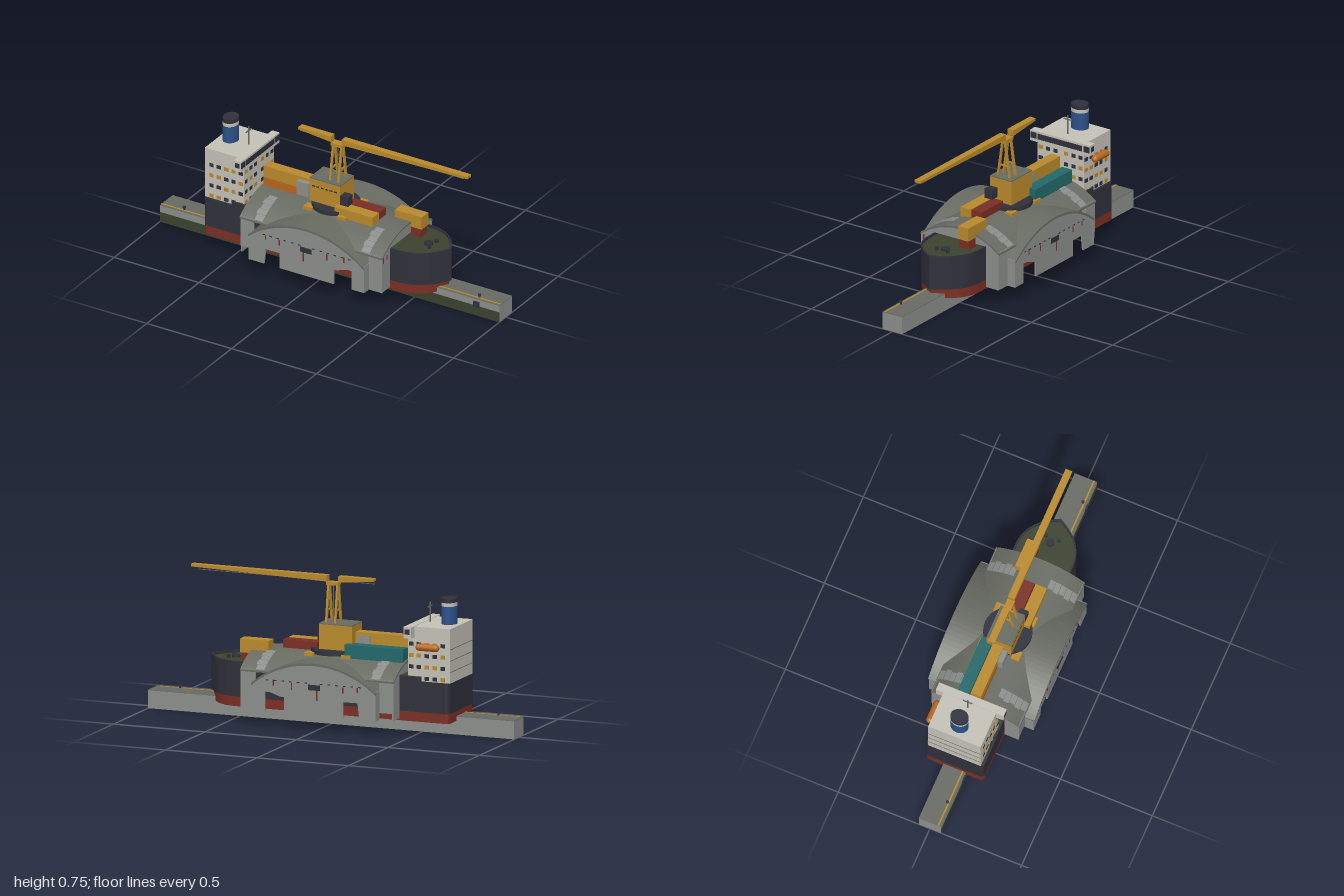
import * as THREE from 'three';

const mat = (name, color, side = THREE.FrontSide) => {
  const m = new THREE.MeshStandardMaterial({ color, side });
  m.name = name;
  return m;
};

export function createModel() {
  const concrete = mat('concrete', 0x8c8e8c), roof = mat('roof grey', 0x686b62), navy = mat('navy', 0x2f303a),
    red = mat('oxide red', 0x7a2e24), yellow = mat('crane yellow', 0xb98a2c), white = mat('off white', 0xc4c1b7),
    blue = mat('funnel blue', 0x2b5288), teal = mat('teal', 0x22686a), orange = mat('orange', 0xb9661f),
    green = mat('dark green', 0x3b422f);
  const root = new THREE.Group();
  root.name = 'shipUnderVault';

  const add = (name, geo, m, parent = root) => {
    const mesh = new THREE.Mesh(geo, m);
    mesh.name = name;
    parent.add(mesh);
    return mesh;
  };
  const group = (name) => {
    const g = new THREE.Group();
    g.name = name;
    root.add(g);
    return g;
  };
  // box given by its min and max on each axis
  const box = (name, m, x0, x1, y0, y1, z0, z1, parent) => {
    const b = add(name, new THREE.BoxGeometry(x1 - x0, y1 - y0, z1 - z0), m, parent);
    b.position.set((x0 + x1) / 2, (y0 + y1) / 2, (z0 + z1) / 2);
    return b;
  };
  const cyl = (name, m, r, y0, y1, x, z, parent, n = 24) => {
    const c = add(name, new THREE.CylinderGeometry(r, r, y1 - y0, n), m, parent);
    c.position.set(x, (y0 + y1) / 2, z);
    return c;
  };
  const extrude = (shape, depth) => new THREE.ExtrudeGeometry(shape, { depth, bevelEnabled: false, curveSegments: 16 });
  const poly = (pts) => new THREE.Shape(pts.map(([x, y]) => new THREE.Vector2(x, y)));
  // thin bar between two points
  const bar = (name, m, a, b, w, parent) => {
    const p = new THREE.Vector3(...a), q = new THREE.Vector3(...b);
    const s = add(name, new THREE.BoxGeometry(w, w, p.distanceTo(q)), m, parent);
    s.position.copy(p).add(q).multiplyScalar(0.5);
    s.lookAt(q);
  };

  // Quay
  const quay = group('quay');
  box('quayWall', concrete, -1, 1, 0, 0.092, -0.06, 0.06, quay);
  box('quayDeck', roof, -1, 1, 0.092, 0.095, -0.06, 0.06, quay);
  box('quayWeedBand', green, -1, 1, 0, 0.055, 0.06, 0.062, quay);
  box('quayEdgeLine', yellow, -1, 1, 0.095, 0.097, 0.042, 0.05, quay);
  for (let i = 0; i < 6; i++) {
    const x = -0.71 + i * 0.315;
    box('fender', navy, x - 0.017, x + 0.017, 0.05, 0.08, 0.06, 0.069, quay);
  }
  for (const x of [-0.87, 0.87]) {
    cyl('bollard', navy, 0.005, 0.095, 0.108, x, 0.04, quay, 12);
    cyl('bollardHead', navy, 0.008, 0.106, 0.114, x, 0.04, quay, 12);
  }

  // Hull, extruded upwards from its plan
  const hull = group('hull');
  const hullPlan = (bow, stern, w) => {
    const s = new THREE.Shape();
    s.moveTo(stern + 0.02, -w);
    s.lineTo(0.46, -w);
    s.bezierCurveTo(0.58, -w, bow - 0.04, -0.08, bow, 0);
    s.bezierCurveTo(bow - 0.04, 0.08, 0.58, w, 0.46, w);
    s.lineTo(stern + 0.02, w);
    s.quadraticCurveTo(stern, w, stern, w - 0.03);
    s.lineTo(stern, -w + 0.03);
    s.quadraticCurveTo(stern, -w, stern + 0.02, -w);
    return s;
  };
  const upward = (shape, y0, y1) => extrude(shape, y1 - y0).rotateX(-Math.PI / 2).translate(0, y0, 0);
  add('lowerHull', upward(hullPlan(0.665, -0.685, 0.157), 0.07, 0.122), red, hull);
  add('upperHull', upward(hullPlan(0.68, -0.685, 0.158), 0.12, 0.275), navy, hull);
  const bulwark = hullPlan(0.68, -0.53, 0.158);
  bulwark.holes.push(new THREE.Path(hullPlan(0.668, -0.52, 0.15).getPoints(16)));
  add('bulwark', upward(bulwark, 0.275, 0.3), navy, hull);
  add('deck', upward(hullPlan(0.67, -0.525, 0.152), 0.275, 0.288), green, hull);
  for (const z of [-0.035, 0.035]) cyl('mooringPost', navy, 0.009, 0.285, 0.305, 0.57, z, hull, 12);
  cyl('windlass', navy, 0.022, 0.285, 0.3, 0.545, 0, hull);

  // Crossed vaults: arcs of a given half span, springing height and rise
  const vaults = group('vaultedHall');
  const arc = (h, y0, rise, a = -h, b = h, n = 28) => {
    const R = (h * h + rise * rise) / (2 * rise);
    return Array.from({ length: n + 1 }, (_, i) => {
      const u = a + (b - a) * i / n;
      return [u, y0 + rise - R + Math.sqrt(R * R - u * u)];
    });
  };
  const shell = (pts, t) => poly([...pts.map(([u, y]) => [u, y - t]), ...pts.slice().reverse()]);
  const alongX = (shape, x0, x1) => extrude(shape, x1 - x0).rotateY(Math.PI / 2).translate(x0, 0, 0);
  const alongZ = (shape, z0, z1) => extrude(shape, z1 - z0).translate(0, 0, z0);
  add('longVault', alongX(shell(arc(0.242, 0.28, 0.085), 0.009), -0.42, 0.42), roof, vaults);
  add('crossVault', alongZ(shell(arc(0.34, 0.225, 0.125), 0.012), -0.29, 0.29), roof, vaults);

  // End walls with openings for the hull
  const endWall = poly([...arc(0.236, 0.276, 0.082), [0.236, 0.08], [0.16, 0.08], [0.16, 0.3], [-0.16, 0.3], [-0.16, 0.08], [-0.236, 0.08]]);
  for (const x of [-0.416, 0.408]) add('endWall', alongX(endWall, x, x + 0.008), concrete, vaults);
  // Facades with two broken openings
  const facade = poly([...arc(0.336, 0.222, 0.12), [0.336, 0.08], [0.265, 0.08], [0.265, 0.185], [0.24, 0.185], [0.18, 0.165],
    [0.16, 0.165], [0.16, 0.08], [-0.16, 0.08], [-0.16, 0.165], [-0.24, 0.165], [-0.25, 0.08], [-0.336, 0.08]]);
  for (const s of [-1, 1]) {
    const z = s * 0.28;
    add('facade', alongZ(facade, z - 0.004, z + 0.004), concrete, vaults);
    box('facadeWindow', navy, -0.035, 0.03, 0.212, 0.24, z - 0.007, z + 0.007, vaults);
    for (const [x, y0, y1] of [[-0.018, 0.16, 0.212], [-0.16, 0.21, 0.24], [0.12, 0.205, 0.24], [0.22, 0.22, 0.25], [-0.24, 0.22, 0.245]])
      box('rustStreak', red, x - 0.003, x + 0.003, y0, y1, z - 0.006, z + 0.006, vaults);
    for (let i = -6; i <= 6; i++)
      if (i) box('facadeVent', navy, i * 0.042 - 0.007, i * 0.042 + 0.007, 0.244, 0.249, z - 0.006, z + 0.006, vaults);
    // Corner and arm side walls
    for (const k of [-1, 1]) {
      const xa = k * 0.378, xs = k * 0.336;
      box('cornerWall', concrete, xa - 0.04, xa + 0.04, k < 0 ? 0.115 : 0.08, 0.285, s * 0.234 - 0.004, s * 0.234 + 0.004, vaults);
      box('armSideWall', concrete, xs - 0.004, xs + 0.004, 0.08, 0.228, s * 0.26 - 0.025, s * 0.26 + 0.025, vaults);
      // Pale roof panels in broken rows
      for (let i = 0; i < 5; i++) {
        const a = 0.09 + i * 0.03, pts = arc(0.242, 0.283, 0.085, a, a + 0.028, 4);
        const g = alongX(shell(pts, 0.005), k * 0.315 - 0.028, k * 0.315 + (i % 2 ? 0.028 : 0.02));
        if (s < 0) g.rotateY(Math.PI).translate(k * 0.63, 0, 0);
        add('roofPanel', g, concrete, vaults);
      }
    }
  }
  for (const [z, y] of [[0.223, 0.24], [0.19, 0.25]]) box('endRustStreak', red, 0.416, 0.418, y, 0.275, z - 0.003, z + 0.003, vaults);

  // Accommodation block
  const block = group('accommodation');
  box('deckhouse', white, -0.685, -0.455, 0.275, 0.553, -0.143, 0.143, block);
  box('bridge', white, -0.49, -0.448, 0.497, 0.555, -0.184, 0.184, block);
  box('bridgeWindow', navy, -0.448, -0.446, 0.514, 0.544, -0.136, 0.136, block);
  for (const s of [-1, 1]) {
    box('wingWindow', navy, -0.448, -0.446, 0.514, 0.546, s * 0.163 - 0.018, s * 0.163 + 0.018, block);
    box('wingSideWindow', navy, -0.482, -0.456, 0.517, 0.543, s * 0.185 - 0.001, s * 0.185 + 0.001, block);
    for (let r = 0; r < 4; r++) {
      const y = 0.29 + r * 0.058;
      for (let c = 0; c < 5; c++) {
        const x = -0.645 + c * 0.043;
        box('sideWindow', (c * 3 + r * 2 + (s > 0 ? 1 : 0)) % 4 < 2 ? yellow : navy, x - 0.012, x + 0.012, y - 0.01, y + 0.01, s * 0.144 - 0.001, s * 0.144 + 0.001, block);
      }
      for (let c = 0; c < 3; c++) {
        const z = s * (0.123 - c * 0.045), y2 = y + 0.01;
        box('frontWindow', (c + r + (s > 0 ? 0 : 1)) % 3 === 0 ? yellow : navy, -0.455, -0.453, y2 - 0.01, y2 + 0.01, z - 0.012, z + 0.012, block);
      }
    }
  }
  for (const y of [0.33, 0.388, 0.446]) box('deckLine', roof, -0.687, -0.685, y, y + 0.003, -0.143, 0.143, block);
  for (const [n, m, y0, y1] of [['funnel', blue, 0.553, 0.645], ['funnelBand', white, 0.645, 0.664], ['funnelTop', navy, 0.664, 0.685]])
    cyl(n, m, 0.047, y0, y1, -0.62, 0, block, 32).scale.x = 0.84;
  cyl('mast', roof, 0.004, 0.553, 0.655, -0.515, 0, block, 8);
  box('mastYard', roof, -0.518, -0.512, 0.63, 0.635, -0.025, 0.025, block);
  const boat = add('lifeboat', new THREE.CapsuleGeometry(0.019, 0.09, 8, 16).rotateZ(Math.PI / 2), orange, block);
  boat.position.set(-0.57, 0.454, -0.163);

  // Containers
  const cargo = group('containers');
  for (const [m, ...b] of [[yellow, -0.41, -0.12, 0.41, 0.475, -0.028, 0.028], [orange, -0.41, -0.2, 0.355, 0.41, -0.028, 0.028],
    [teal, -0.41, -0.09, 0.345, 0.42, -0.102, -0.04], [red, 0.09, 0.275, 0.345, 0.405, -0.032, 0.03],
    [yellow, 0.05, 0.275, 0.345, 0.405, 0.035, 0.097], [yellow, 0.325, 0.483, 0.335, 0.405, -0.098, -0.035],
    [red, 0.42, 0.475, 0.285, 0.335, -0.098, -0.035]])
    box('container', m, ...b, cargo);

  // Crane
  const crane = group('crane');
  cyl('turntable', navy, 0.124, 0.358, 0.38, 0, 0, crane, 32);
  for (const x of [-0.1, 0.1]) for (const z of [-0.09, 0.09])
    box('turntableFoot', yellow, x - 0.025, x + 0.025, 0.335, 0.366, z - 0.022, z + 0.022, crane);
  box('machineryHouse', yellow, -0.115, 0.065, 0.38, 0.507, -0.066, 0.066, crane);
  box('houseRoof', roof, -0.115, 0.065, 0.507, 0.512, -0.066, 0.066, crane);
  box('counterweight', concrete, -0.2, -0.13, 0.385, 0.46, -0.03, 0.055, crane);
  box('driverCabin', navy, 0.065, 0.11, 0.405, 0.457, 0.02, 0.066, crane);
  for (let i = 0; i < 6; i++) box('houseLouvre', navy, -0.1 + i * 0.026, -0.085 + i * 0.026, 0.465, 0.472, 0.066, 0.068, crane);
  for (const x of [-0.012, 0.037]) {
    for (const s of [-1, 1]) bar('towerLeg', yellow, [x, 0.508, s * 0.036], [x, 0.705, s * 0.007], 0.011, crane);
    box('towerCrossbar', yellow, x - 0.004, x + 0.004, 0.569, 0.577, -0.028, 0.028, crane);
  }
  bar('towerLadder', roof, [0.012, 0.508, 0], [0.012, 0.7, 0], 0.004, crane);
  box('towerCap', yellow, -0.02, 0.045, 0.7, 0.716, -0.02, 0.02, crane);
  // Tapered jibs and their cables
  const jib = (name, x0, x1, y) => add(name, alongZ(poly(x1 > x0 ? [[x0, y], [x1, 0.735], [x1, 0.748], [x0, 0.748]]
    : [[x1, 0.735], [x0, y], [x0, 0.748], [x1, 0.748]]), -0.018, 0.018), yellow, crane);
  jib('mainJib', 0.043, 0.785, 0.717);
  jib('counterJib', -0.02, -0.212, 0.717);
  for (const [a, b] of [[-0.212, -0.02], [0.045, 0.75]]) bar('jibCable', roof, [a, 0.721, 0], [b, 0.721, 0], 0.003, crane);

  return root;
}
